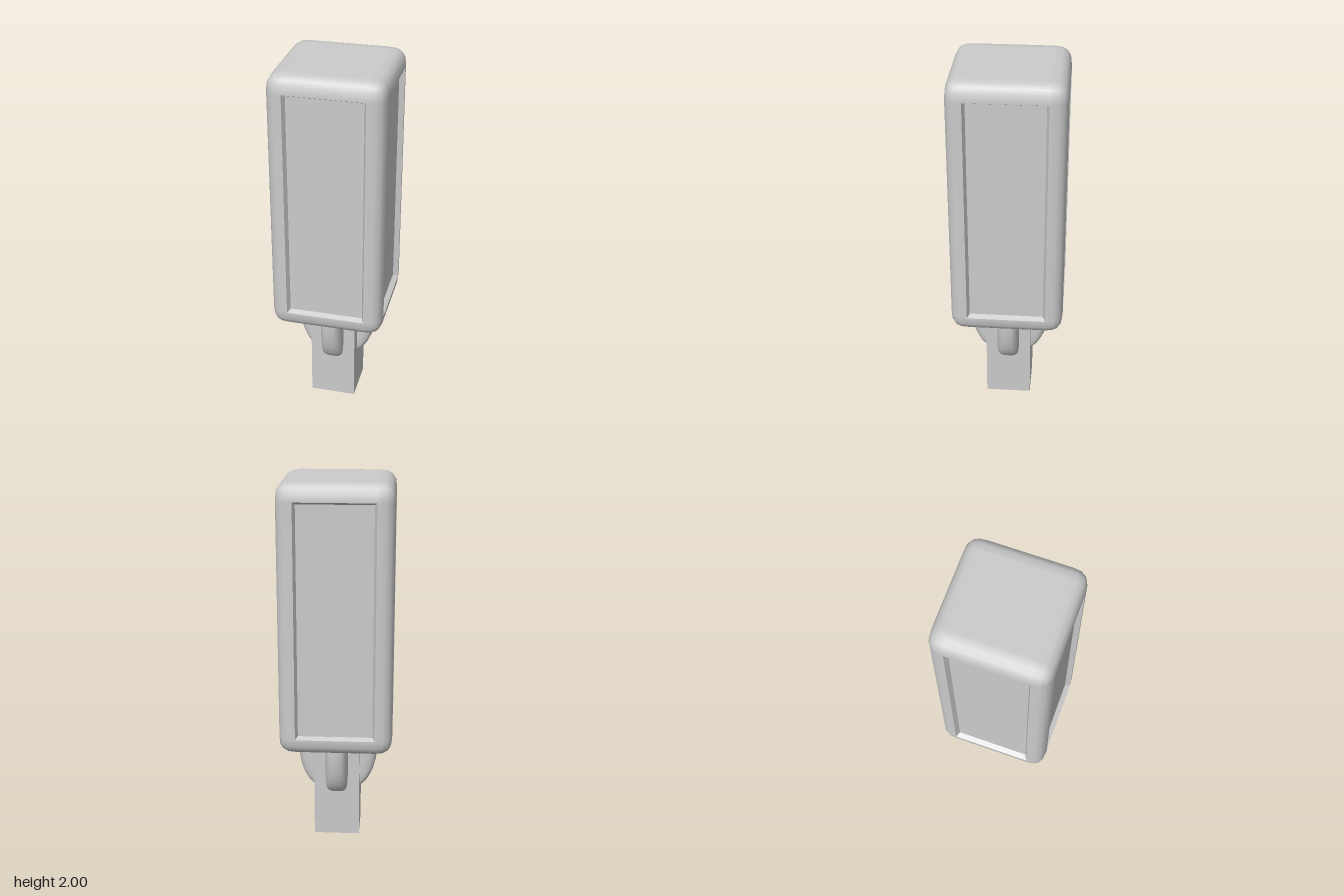
import * as THREE from 'three';
import { RoundedBoxGeometry } from 'three/addons/geometries/RoundedBoxGeometry.js';

const HALF = 0.305, BOTTOM = 0.545, TOP = 2, ROUND = 0.093, POWER = 2.7;
const HEIGHT = TOP - BOTTOM, MID = (TOP + BOTTOM) / 2;

// Rounded casing with squarish corners; the four flat sides are left open for the panels
function casingGeometry() {
  const size = [HALF * 2, HEIGHT, HALF * 2];
  const box = new RoundedBoxGeometry(...size, 2, ROUND);
  const geo = box.index ? box.toNonIndexed() : box;
  const p = geo.attributes.position, core = size.map(s => s / 2 - ROUND);
  const positions = [], normals = [];
  for (let i = 0; i < p.count; i += 3) {
    const corners = [0, 1, 2].map(k => {
      const v = [p.getX(i + k), p.getY(i + k), p.getZ(i + k)];
      const base = v.map((c, a) => Math.sign(c) * core[a]);
      const d = v.map((c, a) => (c - base[a]) / ROUND);
      const len = Math.pow(d.reduce((s, c) => s + Math.abs(c) ** POWER, 0), 1 / POWER);
      const n = new THREE.Vector3(...d.map(c => Math.sign(c) * Math.abs(c) ** (POWER - 1))).normalize();
      return { pos: d.map((c, a) => base[a] + c / len * ROUND), n };
    });
    const isFlatSide = ['x', 'z'].some(a =>
      corners.every(c => c.n[a] > 0.9999) || corners.every(c => c.n[a] < -0.9999));
    if (isFlatSide) continue;
    for (const c of corners) {
      positions.push(...c.pos);
      normals.push(c.n.x, c.n.y, c.n.z);
    }
  }
  const out = new THREE.BufferGeometry();
  out.setAttribute('position', new THREE.Float32BufferAttribute(positions, 3));
  out.setAttribute('normal', new THREE.Float32BufferAttribute(normals, 3));
  return out;
}

// Recessed panel: four sloping walls and a flat back, facing +z
function panelGeometry() {
  const w = HALF - ROUND, h = HEIGHT / 2 - ROUND, inset = 0.013, depth = 0.028;
  const ring = (x, y, z) => [[-x, -y, z], [x, -y, z], [x, y, z], [-x, y, z]];
  const outer = ring(w, h, HALF), inner = ring(w - inset, h - inset, HALF - depth);
  const positions = [];
  const quad = (a, b, c, d) => positions.push(...a, ...b, ...c, ...a, ...c, ...d);
  for (let i = 0; i < 4; i++) {
    const j = (i + 1) % 4;
    quad(outer[i], outer[j], inner[j], inner[i]);
  }
  quad(...inner);
  const geo = new THREE.BufferGeometry();
  geo.setAttribute('position', new THREE.Float32BufferAttribute(positions, 3));
  geo.computeVertexNormals();
  return geo;
}

// Curved bracket facing +z: a rounded section lofted down a bulging profile
function bracketGeometry() {
  // y, reach, half width
  const rows = [
    [0.56, 0.225, 0.062], [0.51, 0.225, 0.062], [0.46, 0.221, 0.062], [0.41, 0.213, 0.062],
    [0.36, 0.2, 0.062], [0.32, 0.182, 0.061], [0.29, 0.163, 0.057], [0.272, 0.145, 0.049],
    [0.262, 0.13, 0.037], [0.258, 0.116, 0.024],
  ];
  const across = 10, back = 0.115;
  const geo = new THREE.PlaneGeometry(1, 1, across, rows.length - 1);
  const p = geo.attributes.position;
  for (let i = 0; i < p.count; i++) {
    const [y, reach, half] = rows[Math.floor(i / (across + 1))];
    const t = (i % (across + 1)) / across * Math.PI;
    const c = Math.cos(t), s = Math.max(0, Math.sin(t));
    p.setXYZ(i, -half * Math.sign(c) * Math.abs(c) ** 0.74, y, back + (reach - back) * s ** 0.74);
  }
  geo.computeVertexNormals();
  return geo;
}

export function createModel() {
  const group = new THREE.Group();
  const material = new THREE.MeshStandardMaterial({ color: 0xcccccc });
  const openMaterial = new THREE.MeshStandardMaterial({ color: 0xcccccc, side: THREE.DoubleSide });
  const add = (name, geo, mat, y = 0, turn = 0) => {
    const mesh = new THREE.Mesh(geo, mat);
    mesh.name = name;
    mesh.position.y = y;
    mesh.rotation.y = turn;
    group.add(mesh);
  };

  add('casing', casingGeometry(), material, MID);

  // Panel and bracket on each of the four sides
  const panel = panelGeometry(), bracket = bracketGeometry();
  ['front', 'left', 'back', 'right'].forEach((side, i) => {
    add(side + 'Panel', panel, openMaterial, MID, i * Math.PI / 2);
    add(side + 'Bracket', bracket, openMaterial, 0, i * Math.PI / 2);
  });

  // Hollow square post, open at the bottom
  const post = new THREE.CylinderGeometry(0.125 * Math.SQRT2, 0.125 * Math.SQRT2, 0.56, 4, 1, true)
    .toNonIndexed();
  post.rotateY(Math.PI / 4);
  post.computeVertexNormals();
  add('post', post, openMaterial, 0.28);

  return group;
}
